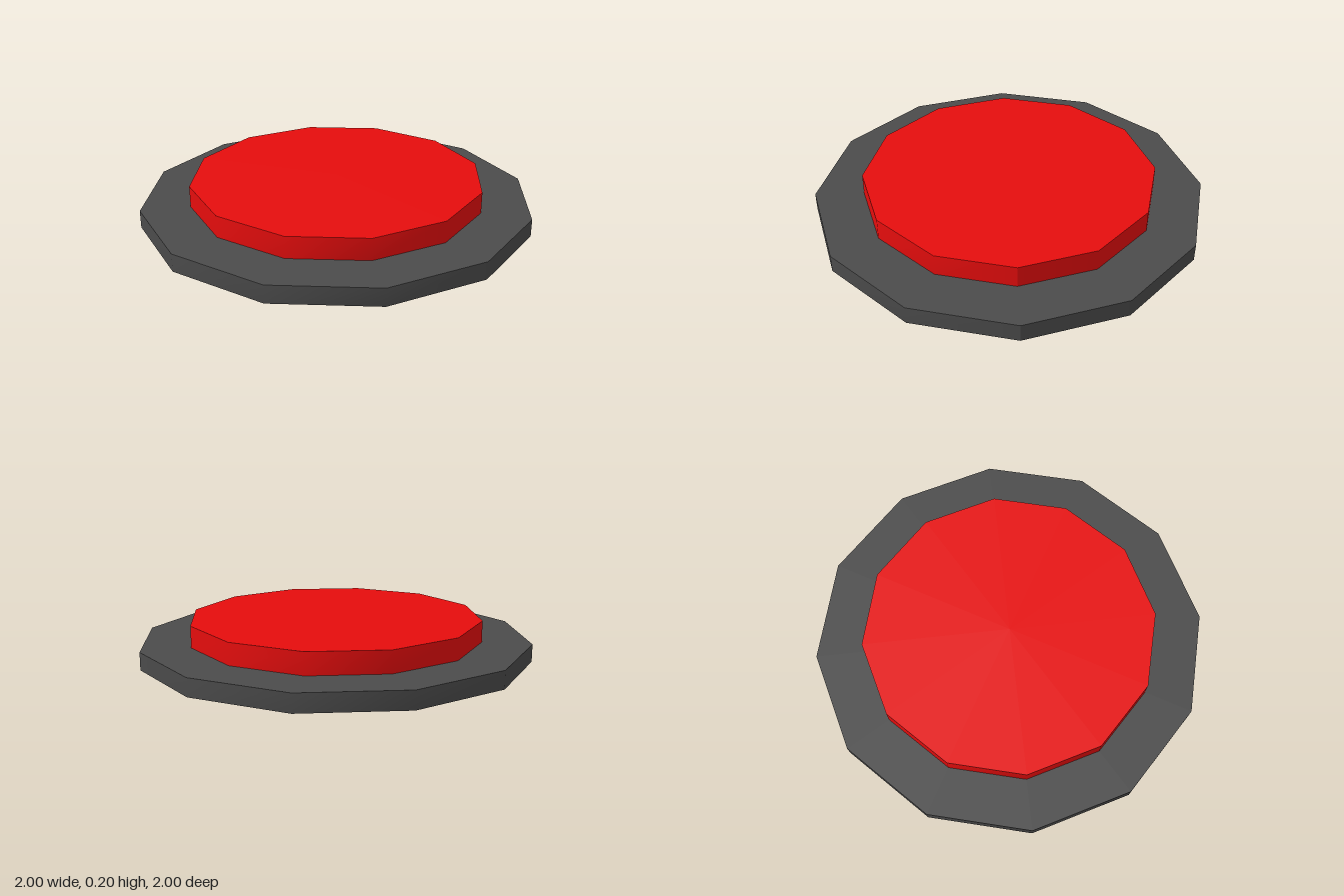
import * as THREE from 'three';

const SIDES = 12;

// Twelve-sided disc with softly shaded sides and one visible seam at the back
function disc(name, radius, bottom, top, color) {
  const geometry = new THREE.CylinderGeometry(
    radius, radius, top - bottom, SIDES, 1, false, Math.PI * 5 / 6);
  geometry.computeVertexNormals();
  const mesh = new THREE.Mesh(geometry, new THREE.MeshStandardMaterial({ color }));
  mesh.name = name;
  mesh.position.y = (bottom + top) / 2;
  return mesh;
}

export function createModel() {
  const model = new THREE.Group();
  model.name = 'floorButton';
  // Wide dark base with the smaller red push plate on top
  model.add(disc('base', 1, 0, 0.09, 0x4b4b4b));
  model.add(disc('pushPlate', 0.75, 0.09, 0.2, 0xe60d0d));
  return model;
}
